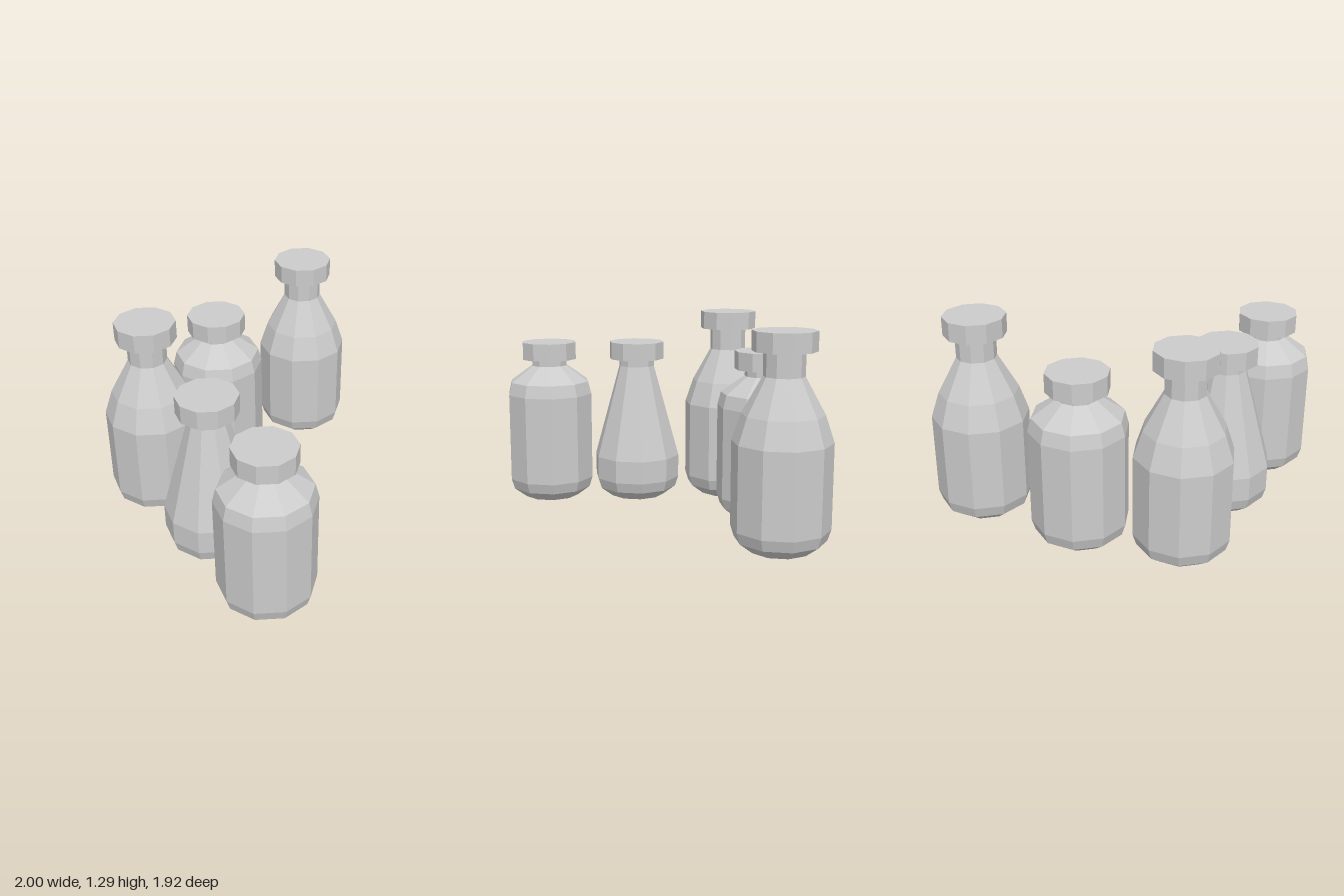
import * as THREE from 'three';

const SIDES = 10;
const material = new THREE.MeshStandardMaterial({ color: 0xcccccc, flatShading: true });

// Rounded foot shared by every bottle, as [radius, height]
const FOOT = [[0, 0], [0.19, 0], [0.275, 0.065], [0.297, 0.135]];

// Body profiles above the foot, with the height of the cap's underside
const STYLES = {
  jar: { capY: 0.97, body: [[0.297, 0.73], [0.275, 0.815], [0.122, 0.925], [0.122, 0.97]] },
  flask: { capY: 0.97, body: [[0.297, 0.29], [0.122, 0.92], [0.122, 0.97]] },
  tallBottle: { capY: 1.175, body: [[0.297, 0.65], [0.243, 0.81], [0.122, 1.03], [0.122, 1.175]] },
};

function createBottle(style, x, z) {
  const { capY, body } = STYLES[style];
  const bottle = new THREE.Group();
  bottle.name = style;
  bottle.position.set(x, 0, z);

  // Faceted glass body with a corner on each x side
  const profile = [...FOOT, ...body].map(([r, y]) => new THREE.Vector2(r, y));
  const glass = new THREE.Mesh(new THREE.LatheGeometry(profile, SIDES, Math.PI / 2), material);
  glass.name = 'body';

  // Wide stopper cap
  const capHeight = 0.117;
  const cap = new THREE.Mesh(
    new THREE.CylinderGeometry(0.19, 0.19, capHeight, SIDES, 1, false, Math.PI / 2), material);
  cap.name = 'cap';
  cap.position.y = capY + capHeight / 2;

  bottle.add(glass, cap);
  return bottle;
}

export function createModel() {
  const model = new THREE.Group();
  model.name = 'bottles';
  // Bottles arranged in an L
  const layout = [
    ['jar', -0.703, 0.672],
    ['flask', -0.638, 0.068],
    ['tallBottle', -0.618, -0.575],
    ['jar', -0.003, -0.682],
    ['tallBottle', 0.703, -0.622],
  ];
  for (const [style, x, z] of layout) model.add(createBottle(style, x, z));
  return model;
}
